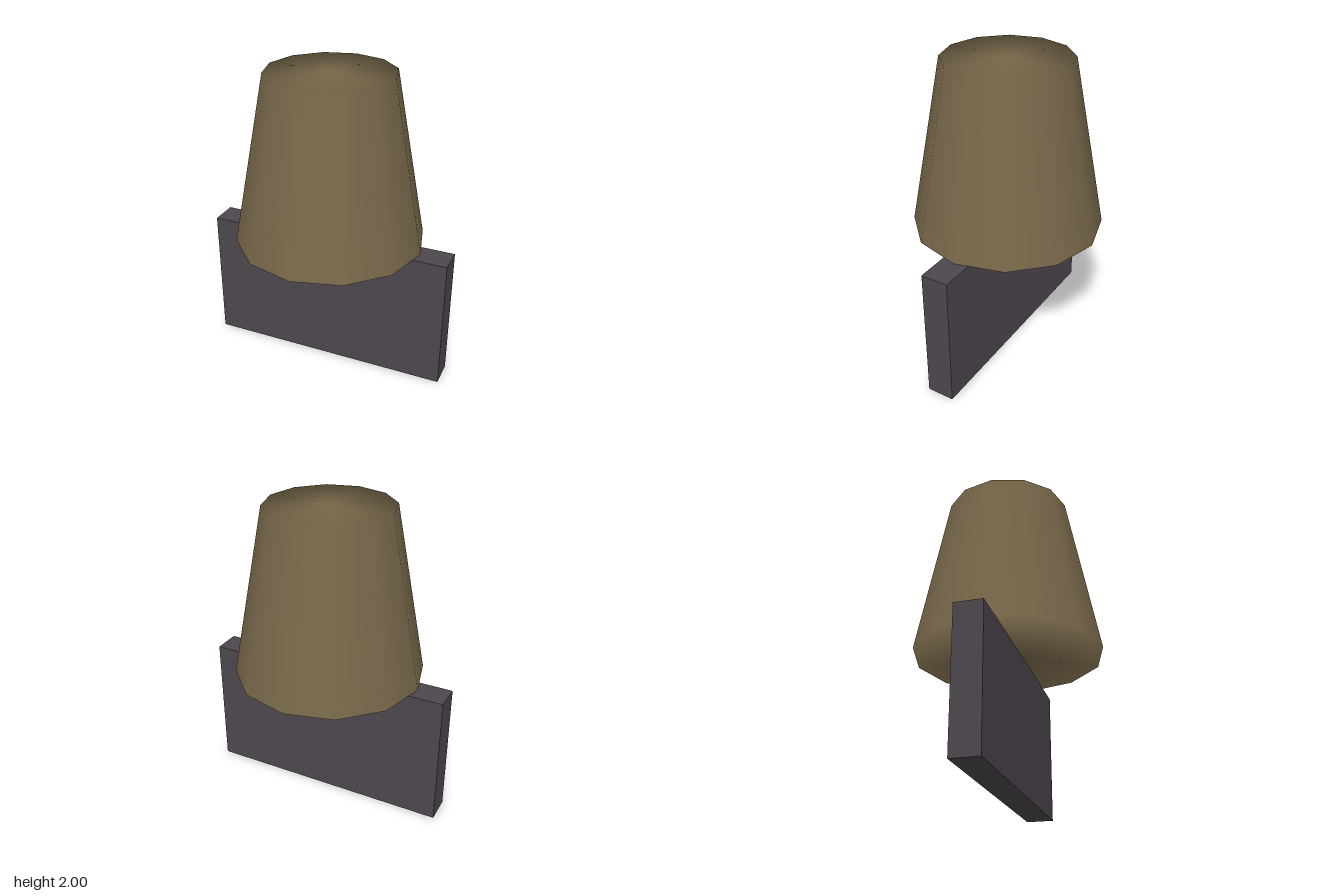
import * as THREE from 'three';

// Tapered drum whose shading flows softly from the wall over both end caps
function softDrum(topRadius, bottomRadius, height, sides) {
  const geometry = new THREE.CylinderGeometry(topRadius, bottomRadius, height, sides);
  const position = geometry.attributes.position;
  const normal = geometry.attributes.normal;
  const slope = (bottomRadius - topRadius) / height;
  const n = new THREE.Vector3();
  for (let i = 0; i < position.count; i++) {
    const x = position.getX(i), z = position.getZ(i);
    const r = Math.hypot(x, z);
    if (r < 1e-6) continue; // cap centres keep facing straight up or down
    n.set(x / r, slope, z / r).normalize();
    normal.setXYZ(i, n.x, n.y, n.z);
  }
  return geometry;
}

export function createModel() {
  const group = new THREE.Group();
  group.name = 'drumOnSlab';

  const brown = new THREE.MeshStandardMaterial({ color: 0x78684a });
  brown.name = 'brown';
  const darkGrey = new THREE.MeshStandardMaterial({ color: 0x4d474e });
  darkGrey.name = 'darkGrey';

  // Upright slab that the drum rests on
  const slab = new THREE.Mesh(new THREE.BoxGeometry(1.63, 0.89, 0.18), darkGrey);
  slab.name = 'slab';
  slab.position.y = 0.445;
  group.add(slab);

  // Twelve-sided tapered drum
  const drum = new THREE.Mesh(softDrum(0.408, 0.617, 1.11, 12), brown);
  drum.name = 'taperedDrum';
  drum.position.y = 1.445;
  group.add(drum);

  return group;
}
